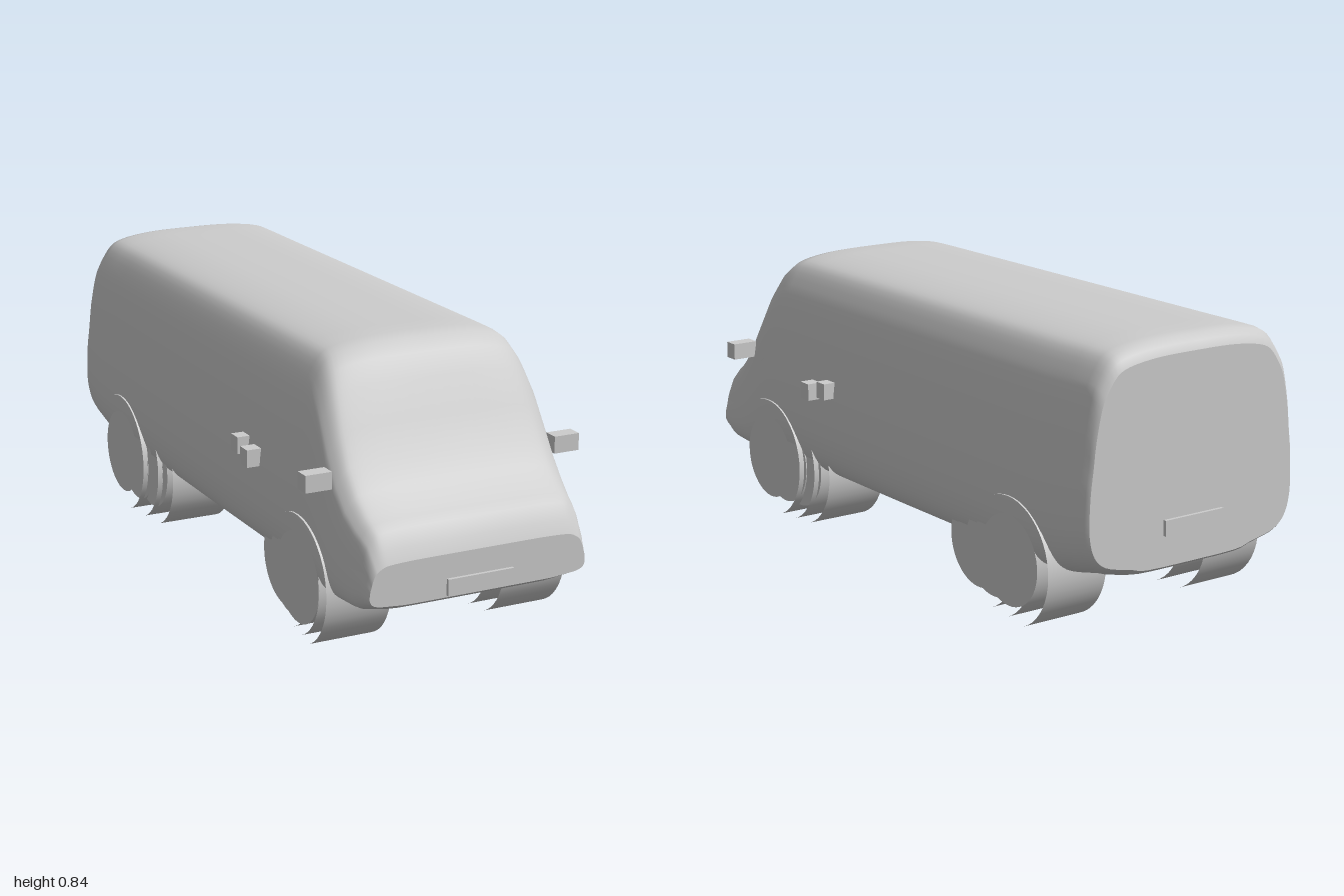
import * as THREE from 'three';

// Half cross-section: [share of half-width, share of height], bottom to top
const HALF = [[0, 0], [0.44, 0.003], [0.6, 0.025], [0.8, 0.052], [0.9, 0.085], [0.96, 0.135], [0.99, 0.2],
  [1, 0.28], [0.99, 0.42], [0.967, 0.53], [0.943, 0.655], [0.893, 0.8], [0.84, 0.87], [0.75, 0.943],
  [0.64, 0.974], [0.45, 0.992], [0.25, 0.999], [0, 1]];

// Body stations: z, top, bottom, half-width, squareness exponent
const STATIONS = [
  [0.99, 0.328, 0.204, 0.337, 0.5], [0.975, 0.365, 0.195, 0.343, 0.5], [0.95, 0.408, 0.182, 0.348, 0.5],
  [0.925, 0.428, 0.172, 0.354, 0.5], [0.9, 0.445, 0.168, 0.359, 0.52], [0.85, 0.49, 0.165, 0.368, 0.56],
  [0.8, 0.555, 0.158, 0.373, 0.6], [0.75, 0.645, 0.153, 0.375, 0.66], [0.7, 0.74, 0.15, 0.375, 0.74],
  [0.66, 0.798, 0.148, 0.375, 0.84], [0.62, 0.832, 0.146, 0.375, 0.94], [0.58, 0.842, 0.145, 0.375, 1],
  [0.5, 0.843, 0.145, 0.375, 1], [0, 0.843, 0.145, 0.375, 1], [-0.75, 0.843, 0.148, 0.375, 1],
  [-0.85, 0.843, 0.158, 0.375, 1], [-0.93, 0.842, 0.178, 0.374, 1], [-0.96, 0.836, 0.188, 0.372, 1],
  [-0.98, 0.82, 0.197, 0.367, 1], [-0.99, 0.797, 0.205, 0.358, 1]];

// Smooth shell lofted through the stations, with flat end caps
function bodyGeometry() {
  const half = new THREE.SplineCurve(HALF.map(([x, y]) => new THREE.Vector2(x, y))).getPoints(51);
  const loop = [...half, ...half.slice(1, -1).reverse().map(p => new THREE.Vector2(-p.x, p.y))];
  const n = loop.length, pos = [], index = [];
  const addRing = ([z, top, bottom, w, power]) => {
    const start = pos.length / 3;
    for (const p of loop) {
      pos.push(Math.sign(p.x) * w * Math.pow(Math.abs(p.x), power), bottom + p.y * (top - bottom), z);
    }
    return start;
  };
  STATIONS.forEach(addRing);
  for (let i = 0; i < STATIONS.length - 1; i++) {
    for (let j = 0; j < n; j++) {
      const k = (j + 1) % n;
      const a = i * n + j, b = i * n + k, c = a + n, d = b + n;
      index.push(a, c, b, b, c, d);
    }
  }
  for (const [station, front] of [[STATIONS[0], true], [STATIONS.at(-1), false]]) {
    const start = addRing(station), centre = pos.length / 3;
    pos.push(0, (station[1] + station[2]) / 2, station[0]);
    for (let j = 0; j < n; j++) {
      const a = start + j, b = start + (j + 1) % n;
      index.push(centre, front ? a : b, front ? b : a);
    }
  }
  const geo = new THREE.BufferGeometry();
  geo.setAttribute('position', new THREE.Float32BufferAttribute(pos, 3));
  geo.setIndex(index);
  geo.computeVertexNormals();
  return geo;
}

export function createModel() {
  const model = new THREE.Group();
  model.name = 'van';
  const grey = new THREE.MeshStandardMaterial({ color: 0xcccccc });
  grey.name = 'light grey';

  const add = (parent, name, geo, x, y, z) => {
    const mesh = new THREE.Mesh(geo, grey);
    mesh.name = name;
    mesh.position.set(x, y, z);
    parent.add(mesh);
    return mesh;
  };
  const box = (name, w, h, d, x, y, z) => add(model, name, new THREE.BoxGeometry(w, h, d), x, y, z);

  add(model, 'body', bodyGeometry(), 0, 0, 0);
  box('frontPlate', 0.205, 0.048, 0.02, 0, 0.234, 0.99);
  box('rearPlate', 0.205, 0.045, 0.02, 0, 0.317, -0.99);

  // Open tread with an outward-facing wheel disc, hub and bolts
  const R = 0.187;
  const tread = new THREE.CylinderGeometry(R, R, 0.2, 48, 1, true).rotateZ(Math.PI / 2);
  const disc = new THREE.CircleGeometry(0.132, 48);
  const hub = new THREE.CircleGeometry(0.1, 40);
  const bolt = new THREE.CircleGeometry(0.007, 10);
  function wheel(name, side, outerX, z) {
    const group = new THREE.Group();
    group.name = name;
    group.position.set(side * outerX, R, z);
    model.add(group);
    add(group, 'tread', tread, -side * 0.1, 0, 0);
    const face = (part, geo, lift, y, dz) => {
      add(group, part, geo, side * lift, y, dz).rotation.y = side * Math.PI / 2;
    };
    face('wheelDisc', disc, -0.004, 0, 0);
    face('hub', hub, -0.002, 0, 0);
    for (let i = 0; i < 5; i++) {
      const a = i * Math.PI * 2 / 5;
      face('bolt', bolt, 0, 0.065 * Math.cos(a), 0.065 * Math.sin(a));
    }
  }

  for (const side of [-1, 1]) {
    const label = side > 0 ? 'left' : 'right';
    // Each wheel has two inner companions stepped towards the middle
    for (let i = 0; i < 3; i++) {
      wheel(label + 'FrontWheel' + i, side, 0.38 - i * 0.0125, 0.635 - i * 0.068);
      wheel(label + 'RearWheel' + i, side, 0.38 - i * 0.0125, -0.655 + i * 0.09);
    }
    box(label + 'Mirror', 0.08, 0.05, 0.046, side * 0.391, 0.515, 0.774);
    box(label + 'FrontDoorHandle', 0.06, 0.052, 0.046, side * 0.38, 0.464, 0.36);
    box(label + 'SideDoorHandle', 0.05, 0.05, 0.044, side * 0.377, 0.48, 0.28);
  }
  return model;
}
